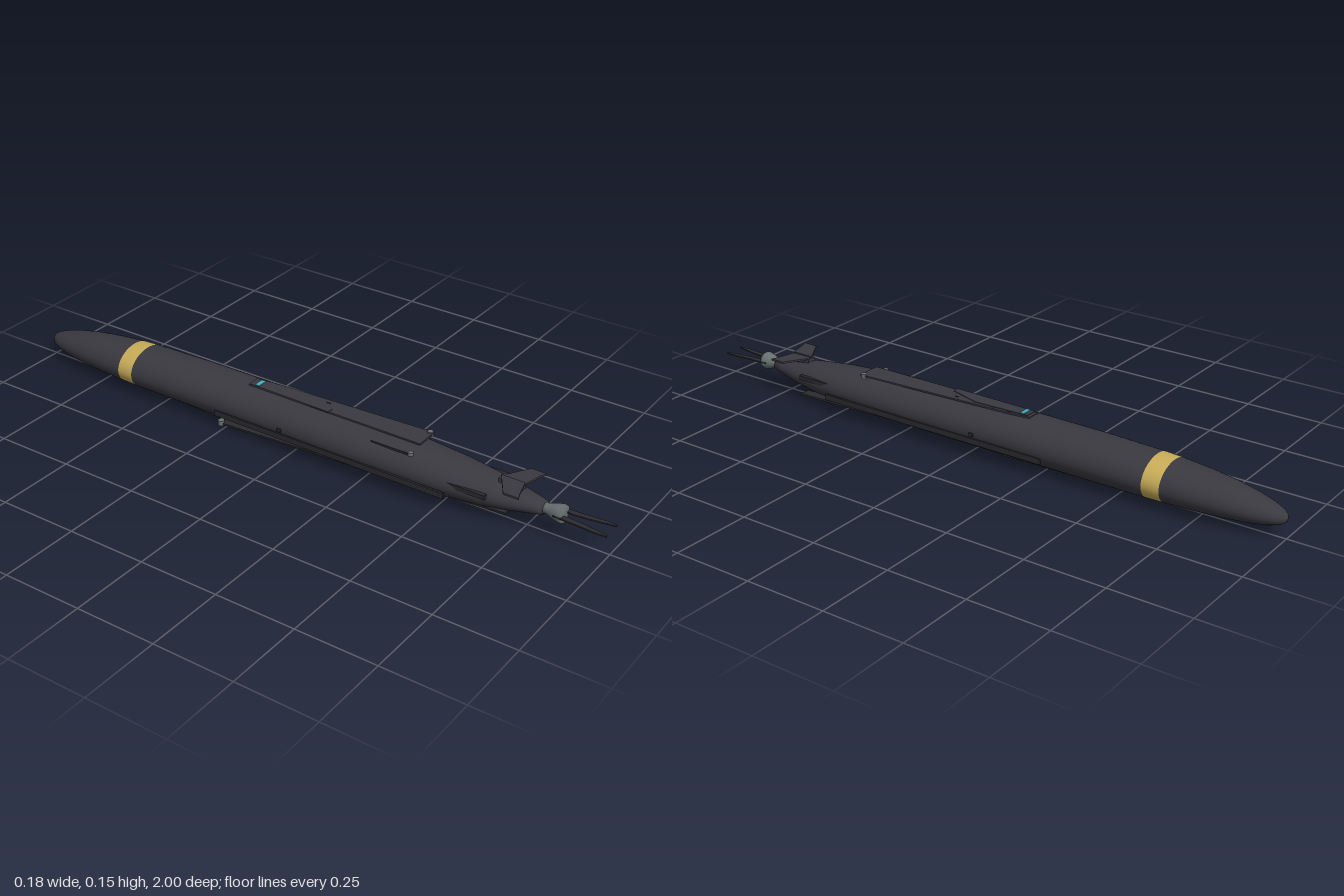
import * as THREE from 'three';

const mat = (name, color, side = THREE.FrontSide) => {
  const m = new THREE.MeshStandardMaterial({ color, side });
  m.name = name;
  return m;
};

export function createModel() {
  const group = new THREE.Group();
  const charcoal = mat('charcoal', 0x3a3940);
  const gold = mat('gold', 0xc9ad58);
  const black = mat('black', 0x2b2b30);
  const grey = mat('grey', 0x687072);
  const cyan = mat('cyan', 0x3fb4c6);

  const add = (name, geometry, material, x = 0, y = 0, z = 0) => {
    const mesh = new THREE.Mesh(geometry, material);
    mesh.name = name;
    mesh.position.set(x, y, z);
    group.add(mesh);
    return mesh;
  };
  const box = (name, material, w, h, d, x, y, z) =>
    add(name, new THREE.BoxGeometry(w, h, d), material, x, y, z);
  // Flat plate outlined in x and z, lying at height y
  const plate = (name, material, points, y, thickness) => {
    const shape = new THREE.Shape(points.map(([x, z]) => new THREE.Vector2(x, -z)));
    const g = new THREE.ExtrudeGeometry(shape, { depth: thickness, bevelEnabled: false });
    g.rotateX(-Math.PI / 2);
    return add(name, g, material, 0, y, 0);
  };

  // Hull stations: z, half width, top, bottom
  const stations = [
    [-1, 0.001, 0.061, 0.059], [-0.995, 0.014, 0.073, 0.048], [-0.98, 0.027, 0.083, 0.039],
    [-0.95, 0.041, 0.094, 0.031], [-0.9, 0.054, 0.107, 0.024], [-0.83, 0.067, 0.12, 0.019],
    [-0.75, 0.077, 0.13, 0.016], [-0.655, 0.084, 0.138, 0.014], [-0.6, 0.086, 0.141, 0.013],
    [-0.4, 0.087, 0.147, 0.012], [-0.1, 0.087, 0.149, 0.011], [0.2, 0.087, 0.147, 0.012],
    [0.4, 0.084, 0.141, 0.015], [0.52, 0.077, 0.133, 0.019], [0.62, 0.066, 0.122, 0.027],
    [0.7, 0.051, 0.111, 0.038], [0.76, 0.036, 0.101, 0.049], [0.8, 0.025, 0.094, 0.056],
    [0.8, 0.001, 0.076, 0.074],
  ];
  const sides = 48, positions = [], index = [];
  for (const [z, w, top, bottom] of stations) {
    for (let j = 0; j < sides; j++) {
      const a = (j / sides) * Math.PI * 2;
      positions.push(w * Math.cos(a), (top + bottom) / 2 + ((top - bottom) / 2) * Math.sin(a), z);
    }
  }
  const hull = new THREE.BufferGeometry();
  for (let i = 0; i < stations.length - 1; i++) {
    hull.addGroup(index.length, sides * 6, i === 7 ? 1 : 0);
    for (let j = 0; j < sides; j++) {
      const a = i * sides + j, b = i * sides + ((j + 1) % sides);
      index.push(a, b, a + sides, b, b + sides, a + sides);
    }
  }
  hull.setAttribute('position', new THREE.Float32BufferAttribute(positions, 3));
  hull.setIndex(index);
  hull.computeVertexNormals();
  add('hull', hull, [charcoal, gold]);

  // Folded upper wing with its window and fasteners
  plate('upperWing', charcoal,
    [[-0.02, -0.19], [0.022, -0.19], [0.03, -0.12], [0.058, 0.41], [-0.02, 0.41]], 0.146, 0.005);
  plate('upperWingFairing', charcoal,
    [[-0.02, -0.18], [0.018, -0.18], [0.026, 0.0], [-0.004, 0.1], [-0.024, 0.1]], 0.149, 0.004);
  box('window', cyan, 0.034, 0.003, 0.013, 0, 0.1535, -0.16);
  for (const z of [-0.12, -0.06, 0, 0.07])
    box('fastener', black, 0.004, 0.002, 0.014, 0.023, 0.1515, z);

  // Folded lower wing and the belly panel in front of it
  plate('lowerWing', black,
    [[-0.062, -0.28], [-0.012, -0.28], [0.036, 0.68], [0.0, 0.68]], 0.006, 0.006).rotation.z = 0.04;
  plate('bellyPanel', black, [[-0.025, -0.58], [0.015, -0.58], [0.032, -0.1], [-0.04, -0.27]], 0.009, 0.008);

  // Wing pivots
  const pivot = (x, y, z, r, h) =>
    add('wingPivot', new THREE.CylinderGeometry(r, r, h, 16), grey, x, y, z);
  pivot(0.052, 0.147, 0.4, 0.009, 0.015);
  pivot(-0.052, 0.131, 0.4, 0.008, 0.01);
  pivot(-0.057, 0.009, -0.27, 0.01, 0.016);
  box('upperRail', black, 0.004, 0.006, 0.13, -0.055, 0.129, 0.335);

  for (const s of [1, -1]) {
    // Side rails, folded lower fins and small side studs
    box('sideRail', black, 0.007, 0.018, 0.8, s * 0.086, 0.057, 0.13);
    box('sideFin', black, 0.012, 0.014, 0.12, s * 0.066, 0.087, 0.59);
    box('sideStud', black, 0.008, 0.01, 0.014, s * 0.088, 0.078, -0.03);
    // Swept tail fins
    const fin = [[0, 0.66], [s * 0.072, 0.705], [s * 0.08, 0.71], [s * 0.08, 0.758], [s * 0.06, 0.75], [0, 0.735]];
    plate('tailFin', charcoal, fin, s > 0 ? 0.122 : 0.126, 0.006);
  }
  box('tailFinMount', charcoal, 0.03, 0.04, 0.07, 0, 0.107, 0.695);

  // Propeller hub
  const profile = [[0, 0.79], [0.018, 0.79], [0.015, 0.808], [0.022, 0.826], [0.028, 0.85], [0.026, 0.86], [0, 0.86]]
    .map(([r, z]) => new THREE.Vector2(r, z));
  const hub = new THREE.LatheGeometry(profile, 24);
  hub.rotateX(Math.PI / 2);
  add('propellerHub', hub, grey, 0, 0.076, 0);

  // Propeller blades folded back
  for (const s of [1, -1]) {
    const blade = [[s * 0.016, 0.84], [s * 0.028, 0.835], [s * 0.03, 0.9], [s * 0.035, 0.96],
      [s * 0.034, 1], [s * 0.027, 0.998], [s * 0.014, 0.92], [s * 0.01, 0.875]];
    plate('propellerBlade', black, blade, 0.074, 0.004);
  }
  return group;
}
